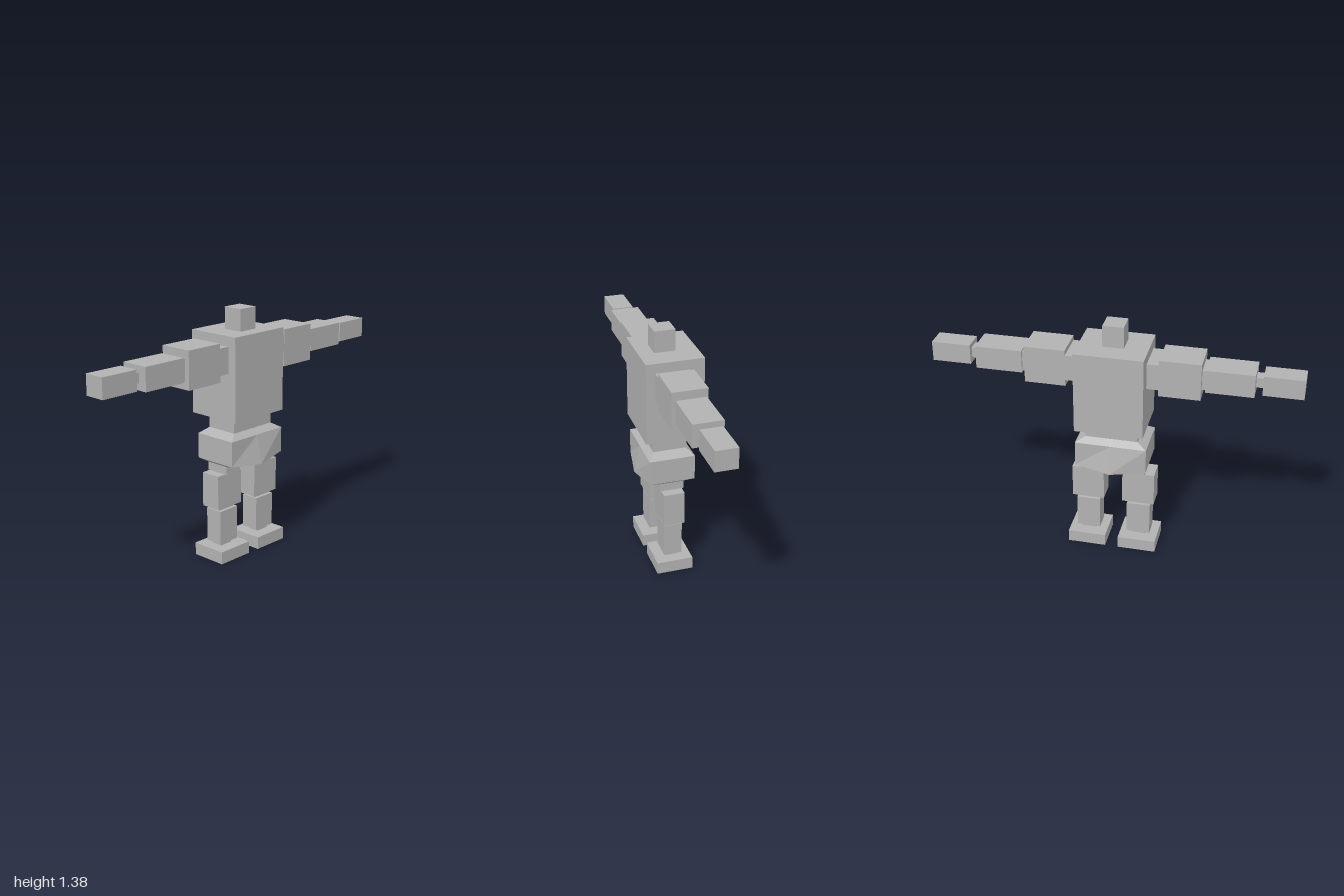
import * as THREE from 'three';

const grey = new THREE.MeshStandardMaterial({ color: 0xb2b2b2 });
grey.name = 'plain grey';

// Box from its extents on each axis
function block(name, [x0, x1], [y0, y1], [z0, z1]) {
  const mesh = new THREE.Mesh(new THREE.BoxGeometry(x1 - x0, y1 - y0, z1 - z0), grey);
  mesh.position.set((x0 + x1) / 2, (y0 + y1) / 2, (z0 + z1) / 2);
  mesh.name = name;
  return mesh;
}

// Pelvis: six-point rings whose centre points flare out and droop
function pelvisGeometry() {
  const rings = [ // half width, corner y, front, back, centre y, centre front, centre back
    [0.18, 0.535, 0.07, -0.055, 0.53, 0.07, -0.055],
    [0.197, 0.55, 0.135, -0.118, 0.53, 0.168, -0.153],
    [0.197, 0.69, 0.135, -0.118, 0.69, 0.135, -0.118],
    [0.145, 0.72, 0.1, -0.085, 0.72, 0.1, -0.085],
  ].map(([w, y, f, b, cy, cf, cb]) => [
    [w, y, f], [0, cy, cf], [-w, y, f], [-w, y, b], [0, cy, cb], [w, y, b],
  ]);
  const pos = [];
  const quad = (a, b, c, d) => pos.push(...a, ...b, ...c, ...a, ...c, ...d);
  for (let i = 0; i < rings.length - 1; i++) {
    const lo = rings[i], hi = rings[i + 1];
    for (let j = 0; j < 6; j++) {
      const k = (j + 1) % 6;
      quad(lo[k], lo[j], hi[j], hi[k]);
    }
  }
  const t = rings[3], u = rings[0];
  quad(t[1], t[0], t[5], t[4]);
  quad(t[2], t[1], t[4], t[3]);
  quad(u[4], u[5], u[0], u[1]);
  quad(u[3], u[4], u[1], u[2]);
  const geo = new THREE.BufferGeometry();
  geo.setAttribute('position', new THREE.Float32BufferAttribute(pos, 3));
  geo.computeVertexNormals();
  return geo;
}

// Limb blocks on the +x side: name, x, y and z extents
const arm = [
  ['shoulder', [0.18, 0.25], [1.055, 1.2], [-0.088, 0.1]],
  ['upperArm', [0.25, 0.473], [1.02, 1.227], [-0.088, 0.103]],
  ['elbow', [0.473, 0.492], [1.07, 1.18], [-0.06, 0.075]],
  ['forearm', [0.492, 0.748], [1.063, 1.19], [-0.073, 0.088]],
  ['wrist', [0.748, 0.786], [1.1, 1.155], [-0.025, 0.04]],
  ['hand', [0.786, 1], [1.07, 1.18], [-0.052, 0.066]],
];
const leg = [
  ['hip', [0.075, 0.18], [0.49, 0.545], [-0.06, 0.077]],
  ['thigh', [0.053, 0.233], [0.298, 0.49], [-0.05, 0.066]],
  ['knee', [0.09, 0.2], [0.28, 0.298], [-0.025, 0.04]],
  ['shin', [0.078, 0.21], [0.09, 0.28], [-0.043, 0.059]],
  ['ankle', [0.107, 0.187], [0.07, 0.09], [-0.025, 0.04]],
  ['foot', [0.037, 0.252], [0, 0.07], [-0.094, 0.11]],
];

export function createModel() {
  const model = new THREE.Group();
  model.name = 'blockFigure';

  // Body
  model.add(
    block('head', [-0.058, 0.056], [1.255, 1.375], [-0.05, 0.066]),
    block('torso', [-0.187, 0.187], [0.795, 1.255], [-0.168, 0.15]),
    block('waist', [-0.145, 0.145], [0.72, 0.795], [-0.085, 0.1]),
  );
  const pelvis = new THREE.Mesh(pelvisGeometry(), grey);
  pelvis.name = 'pelvis';
  model.add(pelvis);

  // Mirrored limbs
  for (const [side, s] of [['left', 1], ['right', -1]]) {
    for (const [limb, parts] of [['Arm', arm], ['Leg', leg]]) {
      const group = new THREE.Group();
      group.name = side + limb;
      for (const [name, [x0, x1], y, z] of parts) {
        group.add(block(name, s > 0 ? [x0, x1] : [-x1, -x0], y, z));
      }
      model.add(group);
    }
  }
  return model;
}
